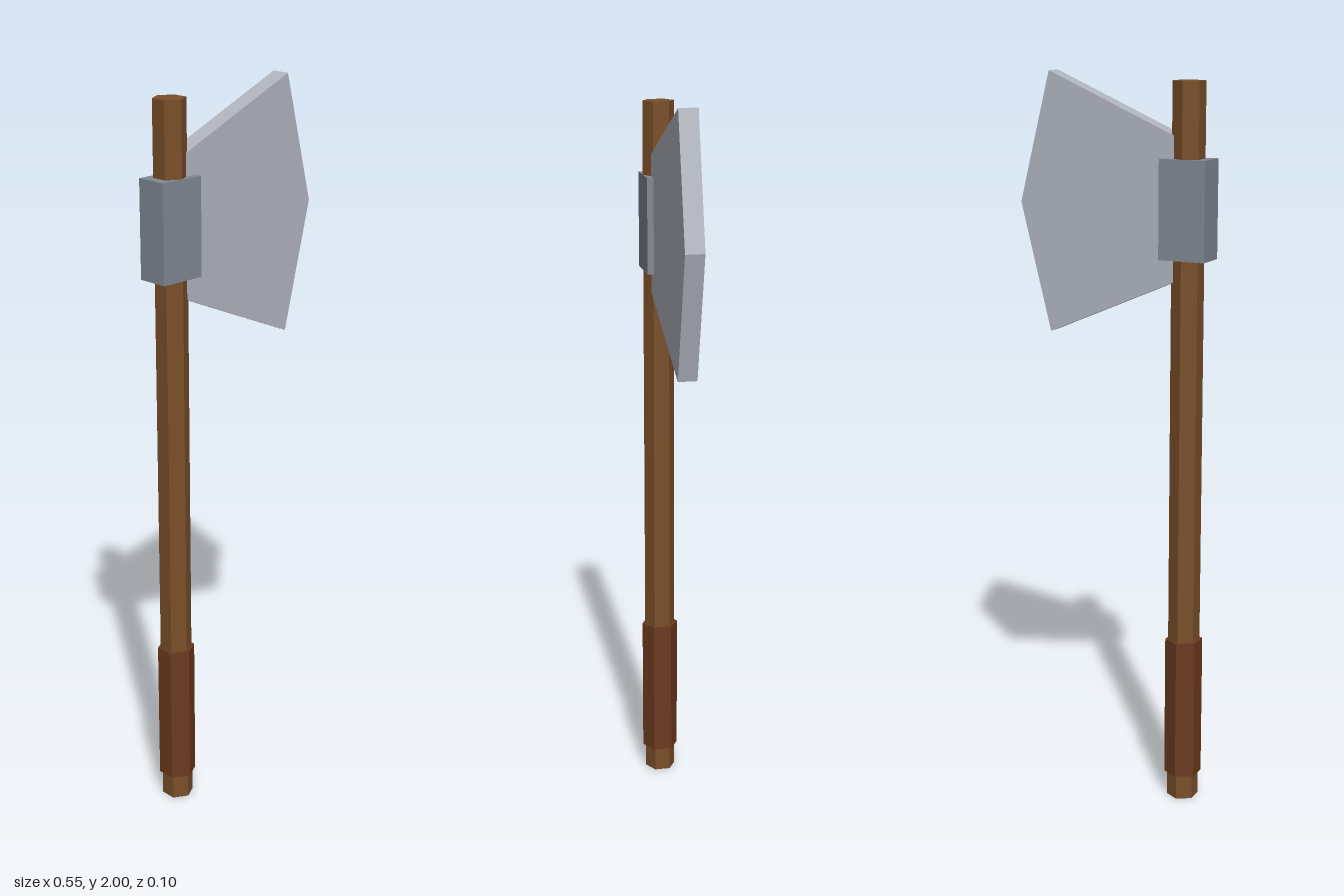
import * as THREE from 'three';

const HANDLE_X = -0.21;

export function createModel() {
  const axe = new THREE.Group();
  axe.name = 'axe';

  const add = (name, geometry, color, x, y, z = 0) => {
    const material = new THREE.MeshStandardMaterial({ color, flatShading: true });
    const mesh = new THREE.Mesh(geometry, material);
    mesh.name = name;
    mesh.position.set(x, y, z);
    axe.add(mesh);
  };

  // Upright six-sided rod between two heights
  const addRod = (name, radius, bottom, top, color) =>
    add(name, new THREE.CylinderGeometry(radius, radius, top - bottom, 6),
      color, HANDLE_X, (bottom + top) / 2);

  // Wooden shaft and the thicker grip around its lower end
  addRod('handle', 0.0436, 0, 1.98, 0x7a4f2a);
  addRod('grip', 0.0515, 0.07, 0.465, 0x6b3a1e);

  // Metal collar holding the blade
  add('collar', new THREE.BoxGeometry(0.13, 0.262, 0.0875), 0x808892, HANDLE_X, 1.651);

  // Flat blade, flaring from the shaft to a pointed cutting edge
  const outline = [[-0.18, -0.19], [0.185, -0.349], [0.273, 0], [0.185, 0.349], [-0.18, 0.19]]
    .map(([x, y]) => new THREE.Vector2(x, y));
  const thickness = 0.052;
  const blade = new THREE.ExtrudeGeometry(new THREE.Shape(outline),
    { depth: thickness, bevelEnabled: false });
  add('blade', blade, 0xb0b4be, 0, 1.651, -thickness / 2);

  return axe;
}
